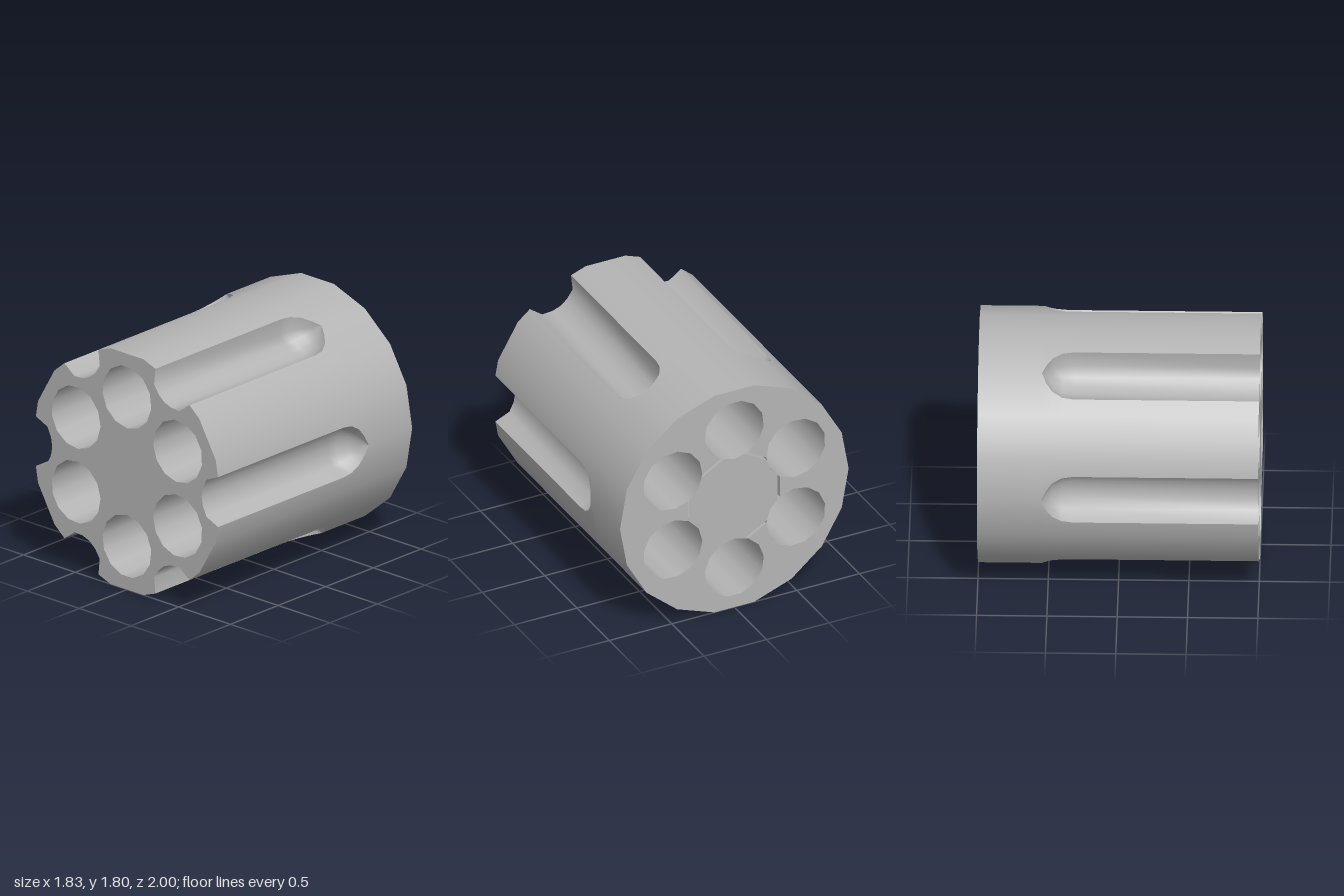
import * as THREE from 'three';

const R = 0.914, SIDES = 6, STEP = Math.PI / 3;
const BORE_RING = 0.568, BORE_R = 0.237, BORE_SIDES = 13;
const rad = THREE.MathUtils.degToRad;
const polar = (r, a) => new THREE.Vector2(r * Math.cos(a), r * Math.sin(a));
const origin = new THREE.Vector2();
const turn = (x, y, a) => new THREE.Vector2(x, y).rotateAround(origin, a);

// Rows of points (front to back, counter-clockwise) joined into a skin
function skin(rows, normalOf) {
  const n = rows[0].length, idx = [], pts = rows.flat();
  for (let i = 0; i < rows.length - 1; i++)
    for (let j = 0; j < n - 1; j++) {
      const a = i * n + j, b = a + 1, c = a + n, d = c + 1;
      idx.push(a, c, b, b, c, d);
    }
  const g = new THREE.BufferGeometry().setFromPoints(pts);
  g.setIndex(idx);
  g.computeVertexNormals();
  if (normalOf) pts.forEach((p, i) => g.attributes.normal.setXYZ(i, ...normalOf(p)));
  return g;
}

// Flat end face, facing front or back
function cap(points, holes, z, back) {
  const s = new THREE.Shape(points);
  holes.forEach(h => s.holes.push(new THREE.Path(h)));
  const g = new THREE.ShapeGeometry(s).translate(0, 0, z);
  if (back) {
    g.setIndex(Array.from(g.index.array).reverse());
    g.attributes.normal.array.fill(0);
    for (let i = 0; i < g.attributes.normal.count; i++) g.attributes.normal.setZ(i, -1);
  }
  return g;
}

// Flute outline: [z, half width]
const stations = [[1, 0.19], [-0.32, 0.19], [-0.4, 0.178], [-0.47, 0.135], [-0.515, 0.07], [-0.545, 0]];
const chordX = h => R - 0.177 * h;
function fluteProfile(h) {
  const k = h / 0.19, e = chordX(h);
  return [[e, -h], [R - 0.145 * k, -0.74 * h], [R - 0.18 * k, -0.36 * h], [R - 0.192 * k, 0],
    [R - 0.18 * k, 0.36 * h], [R - 0.145 * k, 0.74 * h], [e, h]];
}

// Bore outline, starting at its outermost (or innermost) point
function bore(k, startInside) {
  const a = rad(30) + k * STEP, c = polar(BORE_RING, a), out = [];
  for (let i = 0; i < BORE_SIDES; i++) {
    const t = i + (startInside ? 0 : 6);
    out.push(polar(BORE_R, a + Math.PI + t / BORE_SIDES * Math.PI * 2).add(c));
  }
  return out;
}

// Signed distance to the hexagonal plate; four of its sides have a gap
const gaps = [0.001, 0.02, 0.02, 0.02, 0.02, 0.001];
const hexDist = (p, gap) => Math.max(...gaps.map((g, k) => p.dot(polar(1, k * STEP)) - 0.365 + (gap ? g : 0)));

// Part of a bore outline inside or outside the hexagon
function boreRun(k, inside) {
  const pts = bore(k, !inside), run = [];
  pts.forEach((p, i) => {
    const q = pts[(i + 1) % pts.length];
    const s = inside ? -1 : 1, a = s * hexDist(p, inside), b = s * hexDist(q, inside);
    if (a > 0) run.push(p);
    if (a * b < 0) run.push(p.clone().lerp(q, a / (a - b)));
  });
  return inside ? run.reverse() : run;
}

export function createModel() {
  const root = new THREE.Group();
  root.name = 'flutedCylinder';
  const steel = new THREE.MeshStandardMaterial({ color: 0xb4b4b4, side: THREE.DoubleSide });
  steel.name = 'steel grey';
  const add = (name, g) => {
    const m = new THREE.Mesh(g, steel);
    m.name = name;
    root.add(m);
  };
  const at = (p, z) => new THREE.Vector3(p.x, p.y, z);
  const radial = p => { const l = Math.hypot(p.x, p.y); return [p.x / l, p.y / l, 0]; };

  const frontOutline = [], backOutline = [], bores = [];
  const mouth = [], plate = [], outerRuns = [], innerRuns = [];

  for (let k = 0; k < SIDES; k++) {
    const a = k * STEP;

    // Outer wall on both sides of the flute
    for (const side of [-1, 1]) {
      const rows = [...stations, [-1, 0]].map(([z, h]) => {
        const row = [turn(chordX(h), side * h, a), polar(R, a + side * rad(20)),
          polar(R * Math.cos(rad(10)), a + side * rad(30))].map(p => at(p, z));
        return side < 0 ? row.reverse() : row;
      });
      add('outerWall', skin(rows, radial));
    }

    // Scooped flute with rounded end
    add('flute', skin(stations.map(([z, h]) => fluteProfile(h).map(([x, y]) => at(turn(x, y, a), z)))));

    // Bore wall, facing its own axis
    const ring = bore(k, true), c = polar(BORE_RING, rad(30) + a);
    const loop = [...ring, ring[0]].reverse();
    add('boreWall', skin([1, -1].map(z => loop.map(p => at(p, z))),
      p => [(c.x - p.x) / BORE_R, (c.y - p.y) / BORE_R, 0]));
    bores.push(ring);

    // Outlines of the end faces
    frontOutline.push(polar(R, a - rad(20)), ...fluteProfile(0.19).map(([x, y]) => turn(x, y, a)), polar(R, a + rad(20)));
    backOutline.push(polar(R, a - rad(20)), polar(R, a), polar(R, a + rad(20)));
    outerRuns.push(boreRun(k, false));
    innerRuns.push(boreRun(k, true));
    mouth.push(...outerRuns[k]);
    plate.push(...innerRuns[k]);
  }

  add('frontFace', cap(frontOutline, bores, 1, false));
  add('backFace', cap(backOutline, [mouth], -1, true));
  add('extractorPlate', cap(plate, [], -1, true));

  // Narrow slots around the extractor plate
  for (let k = 0; k < SIDES; k++) {
    if (gaps[k] < 0.01) continue;
    const prev = (k + 5) % SIDES;
    const ends = runs => [runs[prev].at(-1), runs[k][0]];
    const o = ends(outerRuns), i = ends(innerRuns);
    const rows = [[i, -1], [i, -0.8], [o, -0.8], [o, -1]].map(([e, z]) => e.map(p => at(p, z)));
    const g = skin(rows).toNonIndexed();
    g.computeVertexNormals();
    add('plateSlot', g);
  }

  root.position.y = 0.902;
  const model = new THREE.Group();
  model.name = 'model';
  model.add(root);
  return model;
}
